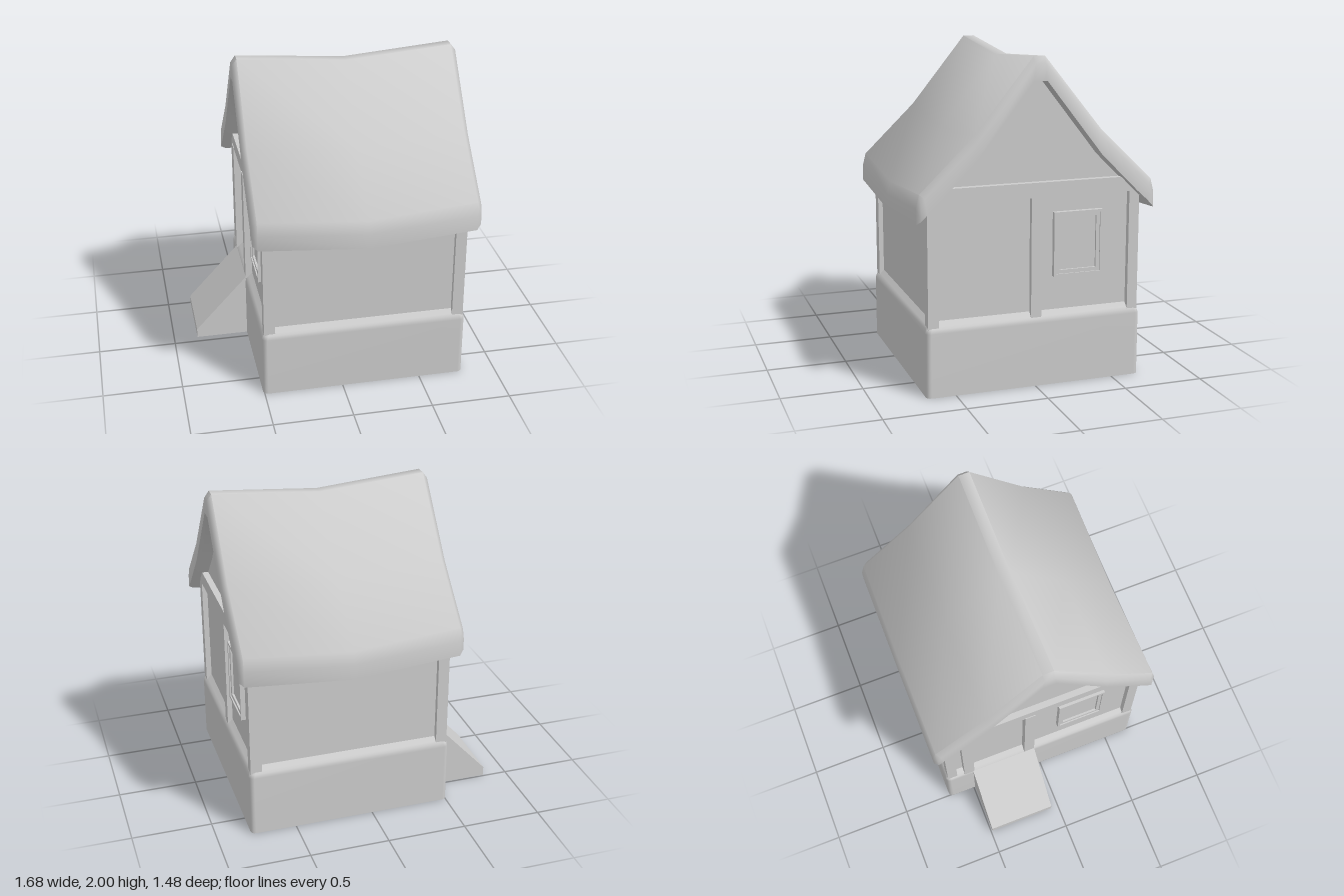
import * as THREE from 'three';
import { mergeGeometries, toCreasedNormals } from 'three/addons/utils/BufferGeometryUtils.js';

const material = new THREE.MeshStandardMaterial({ color: 0xcccccc, side: THREE.DoubleSide });
const CX = 0.14; // house centre along x; the ramp takes up the rest

function add(parent, name, geometry, x = 0, y = 0, z = 0) {
  const mesh = new THREE.Mesh(geometry, material);
  mesh.name = name;
  mesh.position.set(x, y, z);
  parent.add(mesh);
  return mesh;
}

// Box given by its limits on each axis
function block(parent, name, [x0, x1], [y0, y1], [z0, z1]) {
  return add(parent, name, new THREE.BoxGeometry(x1 - x0, y1 - y0, z1 - z0),
    (x0 + x1) / 2, (y0 + y1) / 2, (z0 + z1) / 2);
}

// Skin of quads between rings of [x, y, z] points
function loft(rings, closed = false) {
  const n = rings[0].length, index = [];
  for (let i = 0; i < rings.length - 1; i++) {
    for (let j = 0; j < (closed ? n : n - 1); j++) {
      const k = (j + 1) % n;
      const a = i * n + j, b = i * n + k, c = (i + 1) * n + k, d = (i + 1) * n + j;
      index.push(a, b, c, a, c, d);
    }
  }
  const g = new THREE.BufferGeometry();
  g.setAttribute('position', new THREE.Float32BufferAttribute(rings.flat(2), 3));
  g.setIndex(index);
  g.computeVertexNormals();
  return g;
}

// Rounded rectangle ring, counter-clockwise from above
function roundedRing(y, hx, hz, r) {
  const ring = [];
  for (let q = 0; q < 4; q++) {
    const sx = q === 0 || q === 3 ? 1 : -1, sz = q < 2 ? -1 : 1;
    for (let s = 0; s <= 3; s++) {
      const a = (q + s / 3) * Math.PI / 2;
      ring.push([sx * (hx - r) + r * Math.cos(a), y, sz * (hz - r) - r * Math.sin(a)]);
    }
  }
  return ring;
}

function makeRoof() {
  // Half profiles as [z, y], from ridge to eave
  const outer = [[0.035, 2], [0.39, 1.56], [0.72, 1.24], [0.74, 1.16], [0.74, 1.065]];
  const outerEnd = [[0.03, 1.96], [0.37, 1.535], [0.695, 1.22], [0.715, 1.16], [0.715, 1.09]];
  const inner = [[0.04, 1.86], [0.39, 1.41], [0.62, 1.18], [0.68, 1.125], [0.74, 1.065]];
  const innerEnd = inner.map((p, i) => (i === 4 ? [0.715, 1.09] : p));
  const full = (half, x, sag) => [
    ...half.slice().reverse().map(([z, y]) => [x, y - sag, -z]),
    ...half.map(([z, y]) => [x, y - sag, z]),
  ];
  // Stations along the ridge: rounded ends and a sagging middle
  const stations = [[-0.7, 0, true], [-0.67, 0], [0, 0.055], [0.67, 0], [0.7, 0, true]];
  const tops = stations.map(([x, sag, end]) => full(end ? outerEnd : outer, x, sag));
  const unders = stations.map(([x, sag, end]) => full(end ? innerEnd : inner, x, sag).reverse());
  const flip = (ring) => ring.slice().reverse();
  const parts = [
    loft(tops), loft(unders),
    loft([tops[4], flip(unders[4])]), loft([flip(unders[0]), tops[0]]),
  ];
  return toCreasedNormals(mergeGeometries(parts), 0.95);
}

function rectPath(Type, hw, hh) {
  return new Type([[-hw, -hh], [hw, -hh], [hw, hh], [-hw, hh]].map(([x, y]) => new THREE.Vector2(x, y)));
}

function frameGeometry(hw, hh, border, depth) {
  const shape = rectPath(THREE.Shape, hw, hh);
  shape.holes.push(rectPath(THREE.Path, hw - border, hh - border));
  return new THREE.ExtrudeGeometry(shape, { depth, bevelEnabled: false });
}

// Window facing +x, set on the gable wall
function makeWindow() {
  const g = new THREE.Group();
  g.name = 'window';
  add(g, 'windowOuterFrame', frameGeometry(0.155, 0.198, 0.015, 0.05), 0, 0, -0.025);
  add(g, 'windowInnerFrame', frameGeometry(0.141, 0.184, 0.024, 0.034), 0, 0, -0.017);
  add(g, 'windowPane', new THREE.BoxGeometry(0.236, 0.322, 0.008));
  g.position.set(0.605, 0.867, -0.275);
  g.rotation.y = Math.PI / 2;
  return g;
}

function makeGable() {
  const half = [[0.635, 0.46], [0.635, 1.19], [0.39, 1.43], [0.04, 1.88]];
  const pts = [...half, ...half.map(([z, y]) => [-z, y]).reverse()];
  return new THREE.ShapeGeometry(new THREE.Shape(pts.map(([z, y]) => new THREE.Vector2(z, y))));
}

export function createModel() {
  const model = new THREE.Group();
  model.name = 'house';
  const house = new THREE.Group();
  house.name = 'houseBody';
  house.position.x = CX;
  model.add(house);

  // Foundation, open below, with a softened top lip
  add(house, 'foundation', loft([
    roundedRing(0, 0.647, 0.68, 0.03),
    roundedRing(0.395, 0.647, 0.68, 0.03),
    roundedRing(0.42, 0.641, 0.674, 0.03),
    roundedRing(0.435, 0.625, 0.66, 0.025),
    roundedRing(0.46, 0.6, 0.635, 0.01),
  ], true));

  add(house, 'roof', makeRoof());

  for (const s of [1, -1]) {
    // Long walls under the eaves
    const wall = add(house, s > 0 ? 'frontWall' : 'backWall',
      new THREE.PlaneGeometry(1.2, 0.73), 0, 0.825, s * 0.635);
    wall.rotation.y = s > 0 ? 0 : Math.PI;

    // Gable end with its beam and window; the far end is turned half round
    const end = new THREE.Group();
    end.name = s > 0 ? 'leftEnd' : 'rightEnd';
    end.rotation.y = s > 0 ? 0 : Math.PI;
    house.add(end);
    add(end, 'gableWall', makeGable(), 0.6, 0, 0).rotation.y = Math.PI / 2;
    block(end, 'gableBeam', [0.565, 0.64], [1.165, 1.255], [-0.61, 0.61]);
    end.add(makeWindow());

    // Corner posts
    for (const z of [0.6325, -0.6325]) {
      block(end, 'cornerPost', [0.565, 0.635], [0.42, 1.2], [z - 0.0325, z + 0.0325]);
    }
  }

  // Middle post on one end, a pair of door posts on the other
  block(house, 'middlePost', [0.57, 0.632], [0.42, 1.18], [-0.04, 0.025]);
  for (const z of [-0.515, -0.085]) {
    block(house, 'doorPost', [-0.645, -0.57], [0.42, 1.18], [z - 0.035, z + 0.035]);
  }

  // Entrance ramp, a wedge open below
  const section = (z) => [[-0.845, 0, z], [-0.845, 0.06, z], [-0.505, 0.43, z], [-0.505, 0, z]];
  const back = section(-0.49), front = section(-0.05);
  const ramp = mergeGeometries([
    loft([back.slice(0, 3), front.slice(0, 3)].reverse()),
    loft([[front[0], front[3]], [front[1], front[2]]]),
    loft([[back[3], back[0]], [back[2], back[1]]]),
  ]);
  add(model, 'ramp', toCreasedNormals(ramp, 0.3));

  return model;
}
